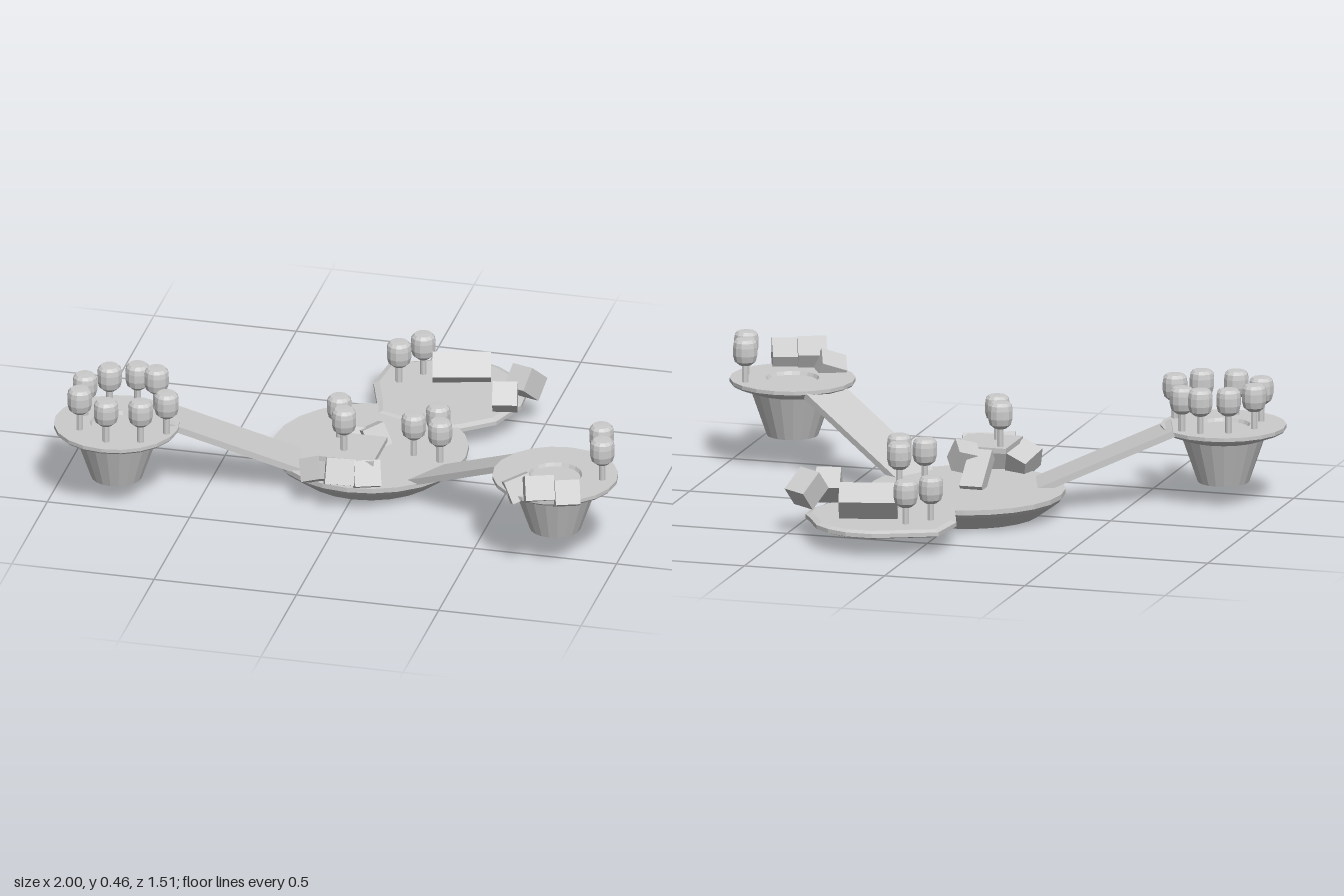
import * as THREE from 'three';

const grey = new THREE.MeshStandardMaterial({ color: 0xcccccc, flatShading: true, side: THREE.DoubleSide });

function add(parent, name, geometry, x = 0, y = 0, z = 0) {
  const mesh = new THREE.Mesh(geometry, grey);
  mesh.name = name;
  mesh.position.set(x, y, z);
  parent.add(mesh);
  return mesh;
}

// Turned solid from [radius, height] pairs, listed from the bottom up
function lathe(points, sides) {
  return new THREE.LatheGeometry(points.map(([r, y]) => new THREE.Vector2(r, y)), sides);
}

const crownGeometry = lathe([[0, 0.062], [0.02, 0.064], [0.037, 0.078], [0.043, 0.1], [0.043, 0.128],
  [0.04, 0.145], [0.031, 0.155], [0, 0.156]], 12);
const trunkGeometry = new THREE.CylinderGeometry(0.012, 0.012, 0.07, 8).translate(0, 0.035, 0);

function trees(parent, y, spots) {
  for (const [x, z] of spots) {
    const tree = new THREE.Group();
    tree.name = 'tree';
    tree.position.set(x, y, z);
    add(tree, 'trunk', trunkGeometry);
    add(tree, 'crown', crownGeometry);
    parent.add(tree);
  }
}

// Tumbled blocks: [position, size, rotation]
function blocks(parent, list) {
  for (const [p, s, r] of list) {
    add(parent, 'block', new THREE.BoxGeometry(...s), ...p).rotation.set(...r, 'YXZ');
  }
}

// Flat beam between two points, kept level across its width
function ramp(parent, from, to, width) {
  const a = new THREE.Vector3(...from), b = new THREE.Vector3(...to);
  const mesh = add(parent, 'ramp', new THREE.BoxGeometry(width, 0.022, a.distanceTo(b)));
  mesh.position.copy(a).lerp(b, 0.5);
  mesh.lookAt(b);
}

// Raised pot with a wide rim and a shallow round basin on top
function pod(parent, name, x, y, z) {
  add(parent, name, lathe([[0, 0], [0.088, 0], [0.142, 0.155], [0.208, 0.18], [0.215, 0.187], [0.215, 0.2],
    [0.092, 0.2], [0.086, 0.188], [0, 0.188]], 20), x, y, z);
}

export function createModel() {
  const model = new THREE.Group();
  model.name = 'terracedGarden';

  // Central dish
  add(model, 'centralDish', lathe([[0, 0], [0.25, 0], [0.325, 0.055], [0.336, 0.068], [0.336, 0.085], [0, 0.085]], 24),
    0.005, 0, -0.02);

  // Rear terrace, outline in x and -z
  const outline = [[-0.03, 0.28], [-0.05, 0.36], [-0.1, 0.51], [-0.085, 0.665], [0.12, 0.755], [0.21, 0.755],
    [0.28, 0.725], [0.335, 0.68], [0.375, 0.605], [0.415, 0.54], [0.42, 0.46], [0.37, 0.32], [0.27, 0.24], [0.18, 0.2]];
  const terrace = new THREE.ExtrudeGeometry(new THREE.Shape(outline.map(([x, y]) => new THREE.Vector2(x, y))),
    { depth: 0.014, bevelThickness: 0.007, bevelSize: 0.02, bevelOffset: -0.014, bevelSegments: 1 });
  add(model, 'rearTerrace', terrace.rotateX(-Math.PI / 2), 0, 0.069, 0);

  // Raised pods and the ramps leading up to them
  pod(model, 'rightPod', -0.785, 0.072, 0.385);
  pod(model, 'leftPod', 0.78, 0.105, 0.48);
  ramp(model, [-0.19, 0.07, 0.13], [-0.635, 0.27, 0.285], 0.18);
  ramp(model, [0.22, 0.063, 0.12], [0.635, 0.288, 0.372], 0.175);

  // Trees
  trees(model, 0.27, [[-0.905, 0.35], [-0.84, 0.265], [-0.75, 0.23], [-0.68, 0.245],
    [-0.6, 0.425], [-0.67, 0.51], [-0.785, 0.535], [-0.895, 0.465]]);
  trees(model, 0.3, [[0.915, 0.37], [0.945, 0.48]]);
  trees(model, 0.085, [[0.23, -0.075], [0.165, 0.01], [0.265, 0.04], [0.045, -0.605], [-0.02, -0.525]]);
  trees(model, 0.195, [[-0.06, 0.155], [-0.02, 0.25]]);

  // Blocks carrying the slab on the central dish
  add(model, 'slab', new THREE.BoxGeometry(0.19, 0.018, 0.2), 0.005, 0.187, 0.22);
  blocks(model, [
    [[-0.015, 0.13, 0.03], [0.08, 0.05, 0.16], [-0.7, 0, 0]],
    [[0.045, 0.17, 0.075], [0.08, 0.08, 0.08], [-0.4, 0.5, 0.3]],
    [[-0.105, 0.125, 0.28], [0.08, 0.08, 0.1], [-0.4, -0.4, 0.4]],
    [[-0.02, 0.14, 0.31], [0.1, 0.09, 0.1], [-0.45, 0.3, -0.1]],
    [[0.07, 0.135, 0.295], [0.09, 0.09, 0.1], [-0.5, 0.35, 0]],
  ]);

  // Blocks on the rear terrace
  blocks(model, [
    [[0.19, 0.15, -0.565], [0.2, 0.09, 0.09], [-0.65, 0.25, 0]],
    [[0.39, 0.15, -0.375], [0.085, 0.085, 0.09], [-0.7, 0.2, 0]],
    [[0.435, 0.16, -0.485], [0.085, 0.085, 0.1], [-0.7, -0.5, 0.1]],
  ]);

  // Blocks on the edge of the left pod
  blocks(model, [
    [[0.69, 0.31, 0.625], [0.09, 0.08, 0.09], [-0.4, 0.35, 0.35]],
    [[0.77, 0.34, 0.675], [0.1, 0.085, 0.1], [-0.5, 0.35, 0]],
    [[0.865, 0.33, 0.665], [0.085, 0.085, 0.1], [-0.5, 0.35, 0]],
  ]);

  return model;
}
